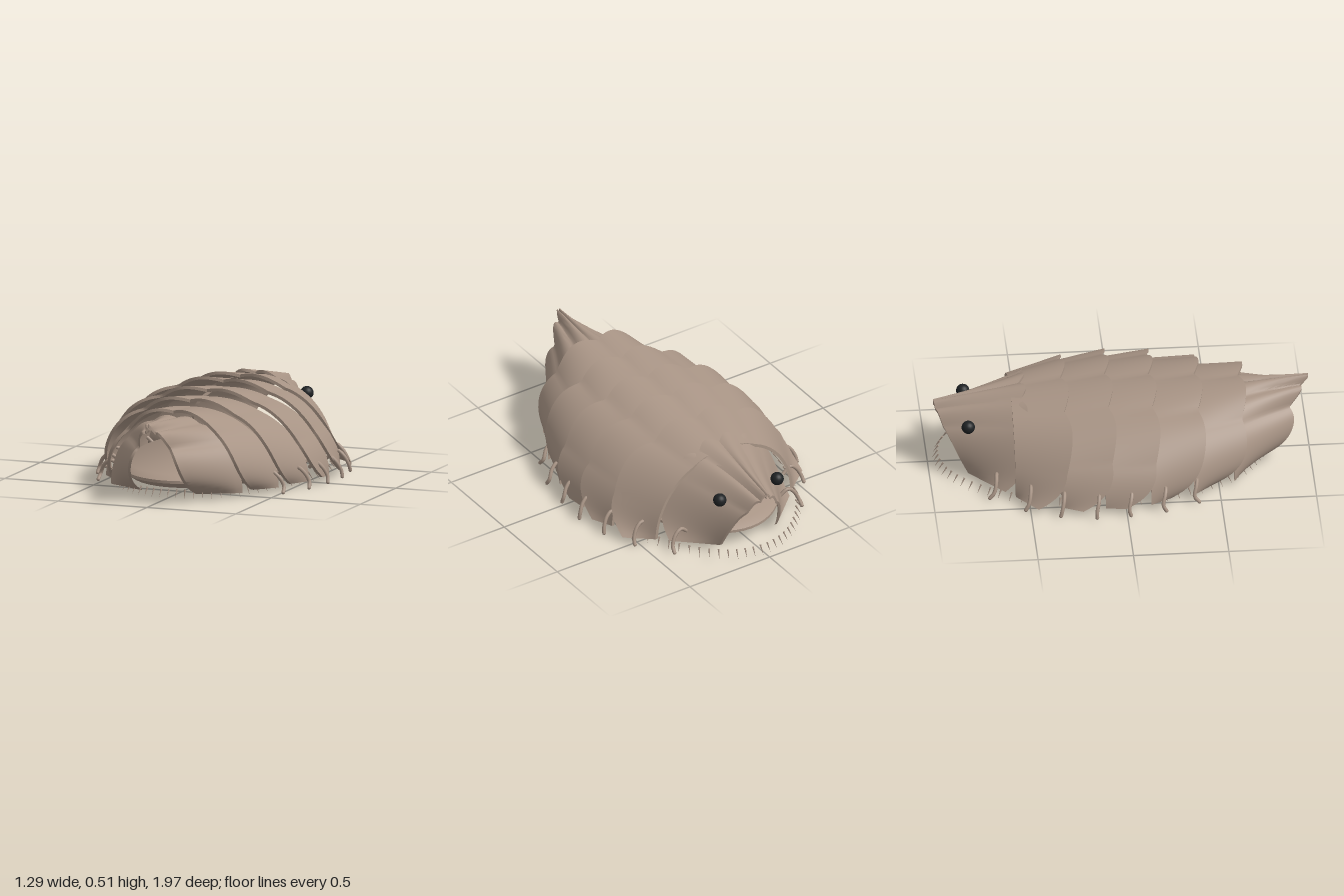
import * as THREE from 'three';
import { toCreasedNormals } from 'three/addons/utils/BufferGeometryUtils.js';

const lerp = THREE.MathUtils.lerp;
const BASE = 0.04, THICK = 0.016;

// Arched shell plate: t runs back to front, the angle runs from right hem to left hem
function plateGeometry(p) {
  const NU = 72, NT = 8, rows = 2 * (NT + 1), pos = [], idx = [];
  const point = (i, t, inset) => {
    const a = (i / NU - 0.5) * Math.PI, s = Math.sin(a), c = Math.max(0, Math.cos(a));
    const w = lerp(p.wB, p.wF, t) - inset, h = lerp(p.hB, p.hF, t) - inset;
    const e = lerp(p.eB ?? 1, p.eF ?? 1, t);
    const lobe = Math.abs(Math.sin(Math.PI * s * p.wRef / p.period));
    const fold = (lobe - 0.6) * p.ripple * lerp(p.foldBack ?? 0.2, 1, t);
    const x = Math.sign(s) * Math.pow(Math.abs(s), e) * w * (1 + fold * 0.8);
    const y = BASE + c * (h + fold);
    const front = p.zF + (lobe - 1) * 0.035 * Math.sqrt(c) - p.sweep * Math.pow(1 - c, 5)
      - (p.cut ?? 0) * Math.min(1, 2 * s * s);
    const back = p.zB + (p.backSweep ?? 0) * (1 - c);
    return [x, y, lerp(back, front, t)];
  };
  for (let k = 0; k < rows; k++) {
    const outer = k <= NT, t = (outer ? k : rows - 1 - k) / NT;
    for (let i = 0; i <= NU; i++) pos.push(...point(i, t, outer ? 0 : THICK));
  }
  const at = (k, i) => (k % rows) * (NU + 1) + i;
  const quad = (a, b, c, d) => idx.push(a, b, c, a, c, d);
  for (let k = 0; k < rows; k++)
    for (let i = 0; i < NU; i++) quad(at(k, i), at(k + 1, i), at(k + 1, i + 1), at(k, i + 1));
  // hems closing the two lower edges
  for (let j = 0; j < NT; j++) {
    const m = rows - 1 - j;
    quad(at(j, 0), at(m, 0), at(m - 1, 0), at(j + 1, 0));
    quad(at(j, NU), at(j + 1, NU), at(m - 1, NU), at(m, NU));
  }
  const g = new THREE.BufferGeometry();
  g.setAttribute('position', new THREE.Float32BufferAttribute(pos, 3));
  g.setIndex(idx);
  return toCreasedNormals(g, 0.6);
}

export function createModel() {
  const model = new THREE.Group();
  const shell = new THREE.MeshStandardMaterial({ color: 0xa89485 });
  shell.name = 'shellBrown';
  const black = new THREE.MeshStandardMaterial({ color: 0x1e2123 });
  black.name = 'eyeBlack';
  const add = (name, geometry, material, parent = model) => {
    const mesh = new THREE.Mesh(geometry, material);
    mesh.name = name;
    parent.add(mesh);
    return mesh;
  };

  // Head plate, narrowing toward the back
  add('headPlate', plateGeometry({
    zF: -0.49, zB: -0.97, wF: 0.38, wB: 0.18, hF: 0.445, hB: 0.345, eB: 1.6,
    wRef: 0.38, period: 0.13, ripple: 0.024, foldBack: 0.8, sweep: 0.13, backSweep: 0.17,
  }), shell);

  // Overlapping body plates: front z, front and back half width, front and back height
  [
    [-0.27, 0.565, 0.43, 0.468, 0.415],
    [-0.04, 0.6, 0.55, 0.48, 0.425],
    [0.19, 0.59, 0.58, 0.468, 0.425],
    [0.43, 0.51, 0.565, 0.455, 0.415],
    [0.66, 0.385, 0.485, 0.435, 0.4],
  ].forEach(([zF, wF, wB, hF, hB], i) => add('bodyPlate' + (i + 1), plateGeometry({
    zF, wF, wB, hF, hB, zB: zF - 0.3, wRef: wF, period: 0.26, ripple: 0.024, sweep: 0.19,
  }), shell));

  // End plate, folded in toward the front tip
  add('endPlate', plateGeometry({
    zF: 1.0, zB: 0.58, wF: 0.165, wB: 0.37, hF: 0.405, hB: 0.385, eF: 1.7,
    wRef: 0.36, period: 0.13, ripple: 0.03, foldBack: 0.5, sweep: 0.23, cut: 0.08,
  }), shell);

  // Flat oval foot
  const profile = [[0, 0.062], [0.91, 0.062], [1, 0.095], [1, 0.11], [0.94, 0.135], [0, 0.135]];
  const footGeometry = new THREE.LatheGeometry(profile.map(([x, y]) => new THREE.Vector2(x, y)), 64);
  const foot = add('foot', toCreasedNormals(footGeometry, 0.4), shell);
  foot.scale.set(0.46, 1, 0.79);
  foot.position.z = -0.04;

  // Seven pairs of hooked legs: z and reach
  const legs = new THREE.Group();
  legs.name = 'legs';
  model.add(legs);
  [[-0.68, 0.4], [-0.51, 0.53], [-0.34, 0.605], [-0.16, 0.635], [0.01, 0.625], [0.19, 0.595], [0.36, 0.52]]
    .forEach(([z, r], n) => [-1, 1].forEach((side) => {
      const lean = (n - 3) * 0.008;
      const path = new THREE.CatmullRomCurve3([
        [r - 0.11, 0.09, -lean], [r - 0.065, 0.125, 0.015], [r - 0.03, 0.1, 0.012], [r - 0.005, 0.05, 0], [r, 0.02, lean],
      ].map(([x, y, dz]) => new THREE.Vector3(side * x, y, z + dz)));
      add('leg', new THREE.TubeGeometry(path, 14, 0.01, 8), shell, legs);
      const tip = add('legTip', new THREE.SphereGeometry(0.01, 8, 6), shell, legs);
      tip.position.set(side * r, 0.02, z + lean);
    }));

  // Ring of bristles below the hem
  const bristles = new THREE.Group();
  bristles.name = 'bristles';
  model.add(bristles);
  const bristleGeometry = new THREE.ConeGeometry(0.005, 0.055, 5);
  const up = new THREE.Vector3(0, 1, 0), COUNT = 76;
  for (let i = 0; i < COUNT; i++) {
    const a = (i + 0.5) / COUNT * Math.PI * 2;
    const bristle = add('bristle', bristleGeometry, shell, bristles);
    bristle.position.set(Math.cos(a) * 0.53, 0.042, -0.1 + Math.sin(a) * 0.86);
    const direction = new THREE.Vector3(Math.cos(a) * 0.6, -0.9, Math.sin(a) * 0.6).normalize();
    bristle.quaternion.setFromUnitVectors(up, direction);
  }

  // Eyes
  [-1, 1].forEach((side) => {
    const eye = add(side > 0 ? 'leftEye' : 'rightEye', new THREE.SphereGeometry(0.035, 20, 14), black);
    eye.position.set(side * 0.18, 0.325, -0.8);
  });
  return model;
}
